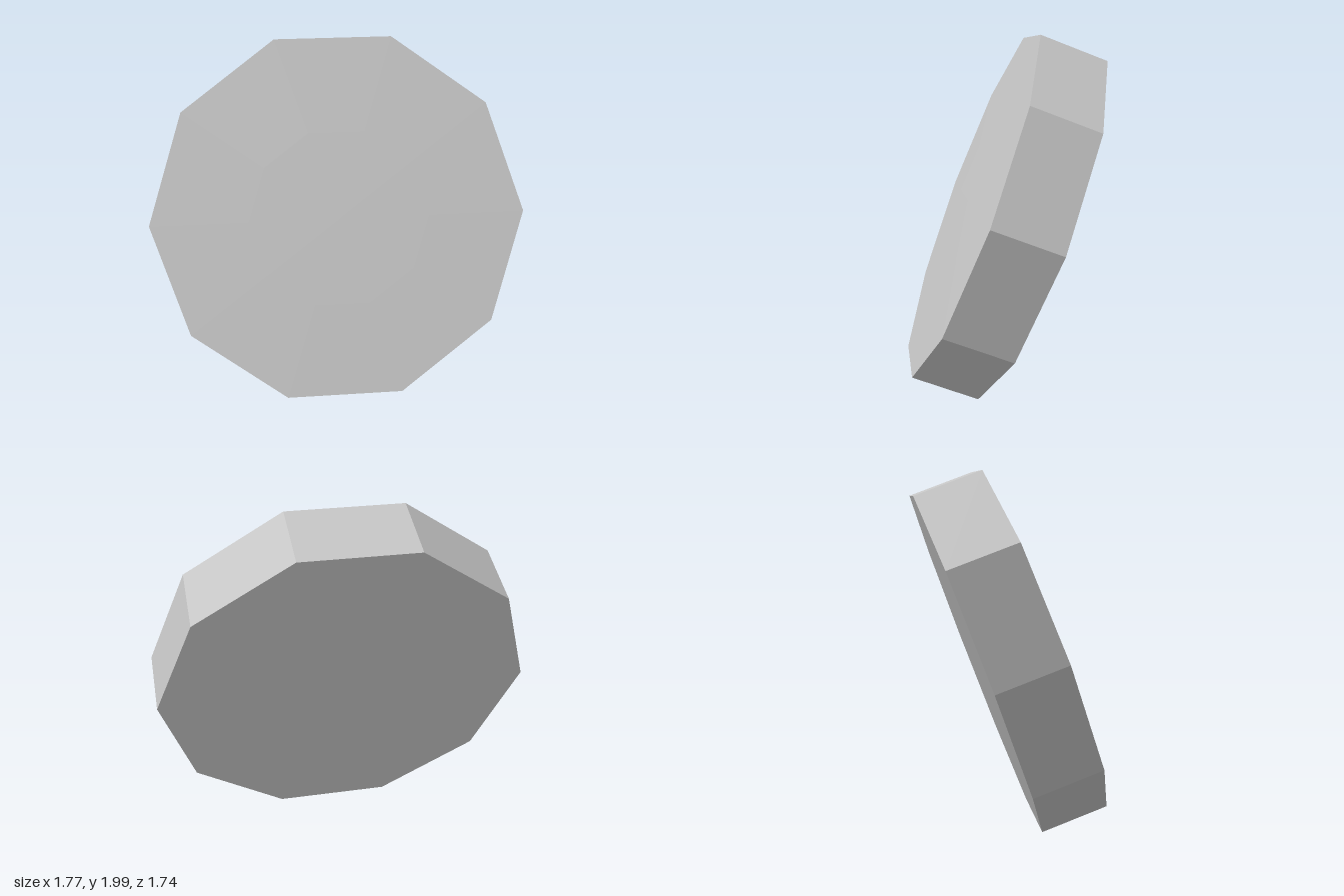
import * as THREE from 'three';

export function createModel() {
  const group = new THREE.Group();
  const grey = new THREE.MeshStandardMaterial({ color: 0xc4c4c4, flatShading: true });
  grey.name = 'plain grey';

  // Ten-sided disc: flat back, straight rim, very slightly domed front
  const radius = 1.04, half = 0.194;
  const profile = [[0, -half], [radius, -half], [radius, half], [0.5, half + 0.01], [0, half + 0.013]]
    .map(([r, h]) => new THREE.Vector2(r, h));
  const disc = new THREE.Mesh(new THREE.LatheGeometry(profile, 10), grey);
  disc.name = 'disc';

  // Tilt: the axis leans to the front left and up, with one corner along the horizontal
  const axis = new THREE.Vector3(0.25, 0.138, 0.264).normalize();
  const corner = new THREE.Vector3(0.755, 0, -0.715);
  corner.addScaledVector(axis, -corner.dot(axis)).normalize();
  const side = new THREE.Vector3().crossVectors(axis, corner);
  disc.quaternion.setFromRotationMatrix(new THREE.Matrix4().makeBasis(side, axis, corner));
  disc.position.y = 1;
  group.add(disc);
  return group;
}
